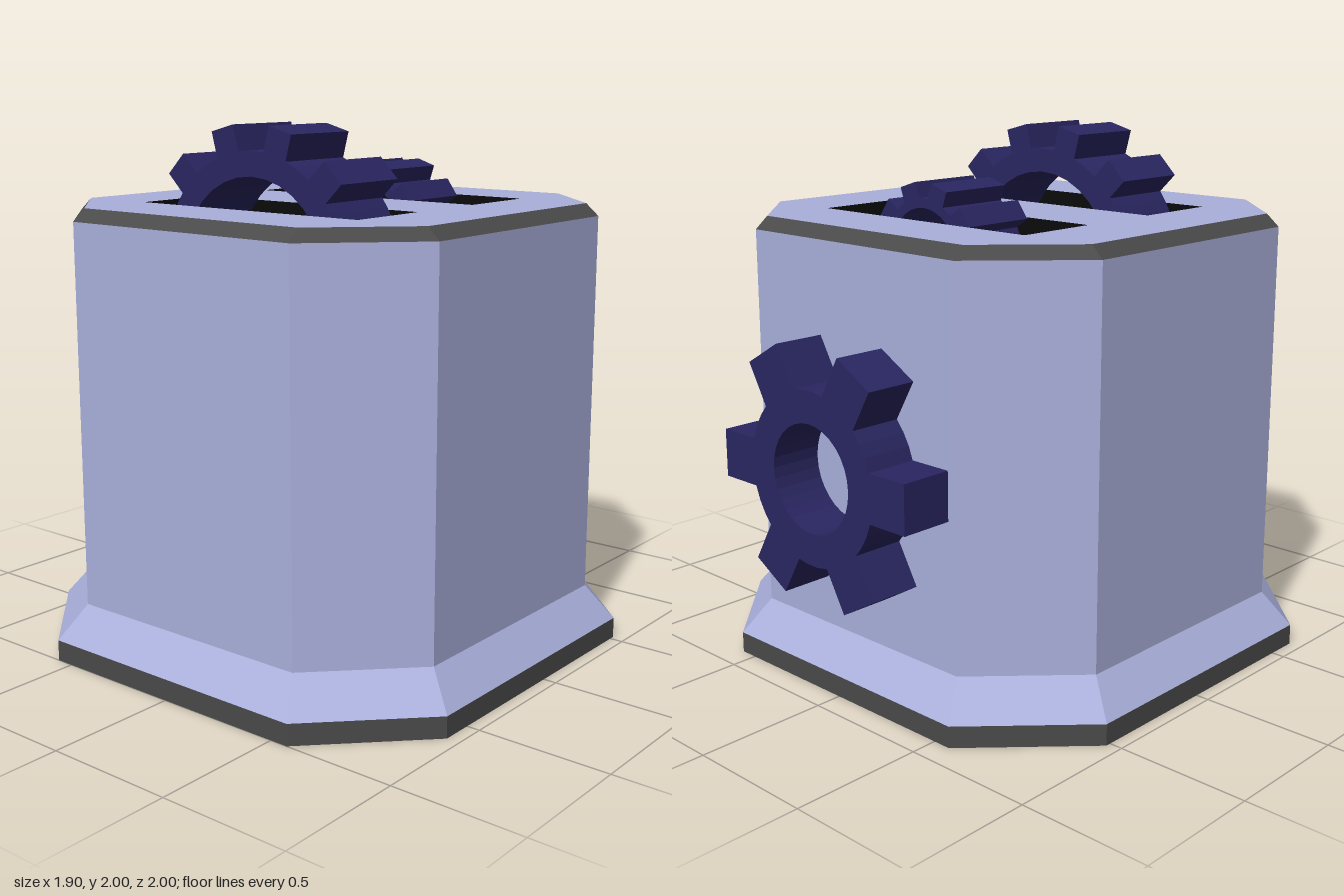
import * as THREE from 'three';

const mat = (color, extra = {}) => Object.assign(new THREE.MeshStandardMaterial({ color, flatShading: true }), extra);
const CZ = 0.05; // z of the housing axis
const SLOTS = [[-0.46, -0.13], [0.21, 0.55]]; // z ranges of the top slots
const SLOT_X = 0.51;

// Octagon corners: flats at +-h, flat half-length c
const octagon = (h, c) => [[h, -c], [h, c], [c, h], [-c, h], [-h, c], [-h, -c], [-c, -h], [c, -h]];

// Wall band between two octagons given as [y, h, c]
function band([y0, h0, c0], [y1, h1, c1]) {
  const a = octagon(h0, c0), b = octagon(h1, c1), pos = [];
  for (let i = 0; i < 8; i++) {
    const j = (i + 1) % 8;
    const A = [a[i][0], y0, a[i][1] + CZ], A1 = [a[j][0], y0, a[j][1] + CZ];
    const B = [b[i][0], y1, b[i][1] + CZ], B1 = [b[j][0], y1, b[j][1] + CZ];
    pos.push(...A, ...B, ...A1, ...A1, ...B, ...B1);
  }
  const g = new THREE.BufferGeometry();
  g.setAttribute('position', new THREE.Float32BufferAttribute(pos, 3));
  g.computeVertexNormals();
  return g;
}

// Toothed ring facing z; first tooth sits at the phase angle
function gearGeometry({ teeth, tip, root, hole, halfWidth, phase, depth }) {
  const pts = [], half = Math.asin(halfWidth / root), step = (2 * Math.PI) / teeth;
  for (let i = 0; i < teeth; i++) {
    const a = phase + i * step, cos = Math.cos(a), sin = Math.sin(a);
    const polar = t => new THREE.Vector2(root * Math.cos(t), root * Math.sin(t));
    const local = (r, w) => new THREE.Vector2(r * cos - w * sin, r * sin + w * cos);
    pts.push(polar(a - half), local(tip, -halfWidth), local(tip, halfWidth), polar(a + half));
    for (const k of [1 / 3, 2 / 3]) pts.push(polar(a + half + (step - 2 * half) * k));
  }
  const shape = new THREE.Shape(pts);
  shape.holes.push(new THREE.Path().absarc(0, 0, hole, 0, Math.PI * 2, true));
  return new THREE.ExtrudeGeometry(shape, { depth, bevelEnabled: false, curveSegments: 16 });
}

export function createModel() {
  const model = new THREE.Group();
  const shell = mat(0xaab0dc), trim = mat(0x4a4a4a), gearMat = mat(0x2a2662);
  const black = mat(0x0b0b0b, { side: THREE.DoubleSide });
  const add = (name, geometry, material, x = 0, y = 0, z = 0) => {
    const m = new THREE.Mesh(geometry, material);
    m.name = name;
    m.position.set(x, y, z);
    model.add(m);
  };

  // Octagonal housing, from the foot upwards
  add('footTrim', band([0, 0.95, 0.57], [0.08, 0.95, 0.57]), trim);
  add('footSlope', band([0.08, 0.95, 0.57], [0.21, 0.85, 0.51]), shell);
  add('housingWalls', band([0.21, 0.85, 0.51], [1.655, 0.85, 0.51]), shell);
  add('topTrim', band([1.655, 0.85, 0.51], [1.7, 0.8, 0.505]), trim);

  // Underside
  const bottom = new THREE.Shape(octagon(0.95, 0.57).map(([x, z]) => new THREE.Vector2(x, z + CZ)));
  add('underside', new THREE.ShapeGeometry(bottom).rotateX(Math.PI / 2), shell);

  // Top plate with two slots
  const top = new THREE.Shape(octagon(0.8, 0.505).map(([x, z]) => new THREE.Vector2(x, -z - CZ)));
  for (const [z0, z1] of SLOTS) {
    top.holes.push(new THREE.Path([[-SLOT_X, z0], [SLOT_X, z0], [SLOT_X, z1], [-SLOT_X, z1]]
      .map(([x, z]) => new THREE.Vector2(x, -z))));
  }
  add('topPlate', new THREE.ShapeGeometry(top).rotateX(-Math.PI / 2), shell, 0, 1.7);

  // Dark slot wells, open at the top
  const wellDepth = 0.8;
  SLOTS.forEach(([z0, z1], i) => {
    const box = new THREE.BoxGeometry(2 * SLOT_X, wellDepth, z1 - z0);
    const idx = Array.from(box.index.array);
    idx.splice(12, 6); // remove the lid
    box.setIndex(idx);
    box.clearGroups();
    add(i ? 'frontSlotWell' : 'rearSlotWell', box, black, 0, 1.7 - wellDepth / 2, (z0 + z1) / 2);
  });

  // Gears
  const up = Math.PI / 2;
  add('largeGear', gearGeometry({ teeth: 12, tip: 0.523, root: 0.43, hole: 0.34, halfWidth: 0.053,
    phase: up + Math.PI / 12, depth: 0.315 }), gearMat, 0.028, 1.48, 0.23);
  add('smallGear', gearGeometry({ teeth: 10, tip: 0.255, root: 0.2, hole: 0.165, halfWidth: 0.04,
    phase: up + Math.PI / 10, depth: 0.3 }), gearMat, -0.005, 1.58, -0.445);
  add('backGear', gearGeometry({ teeth: 6, tip: 0.477, root: 0.32, hole: 0.2, halfWidth: 0.09,
    phase: 0, depth: 0.21 }), gearMat, 0, 0.855, -1);
  return model;
}
